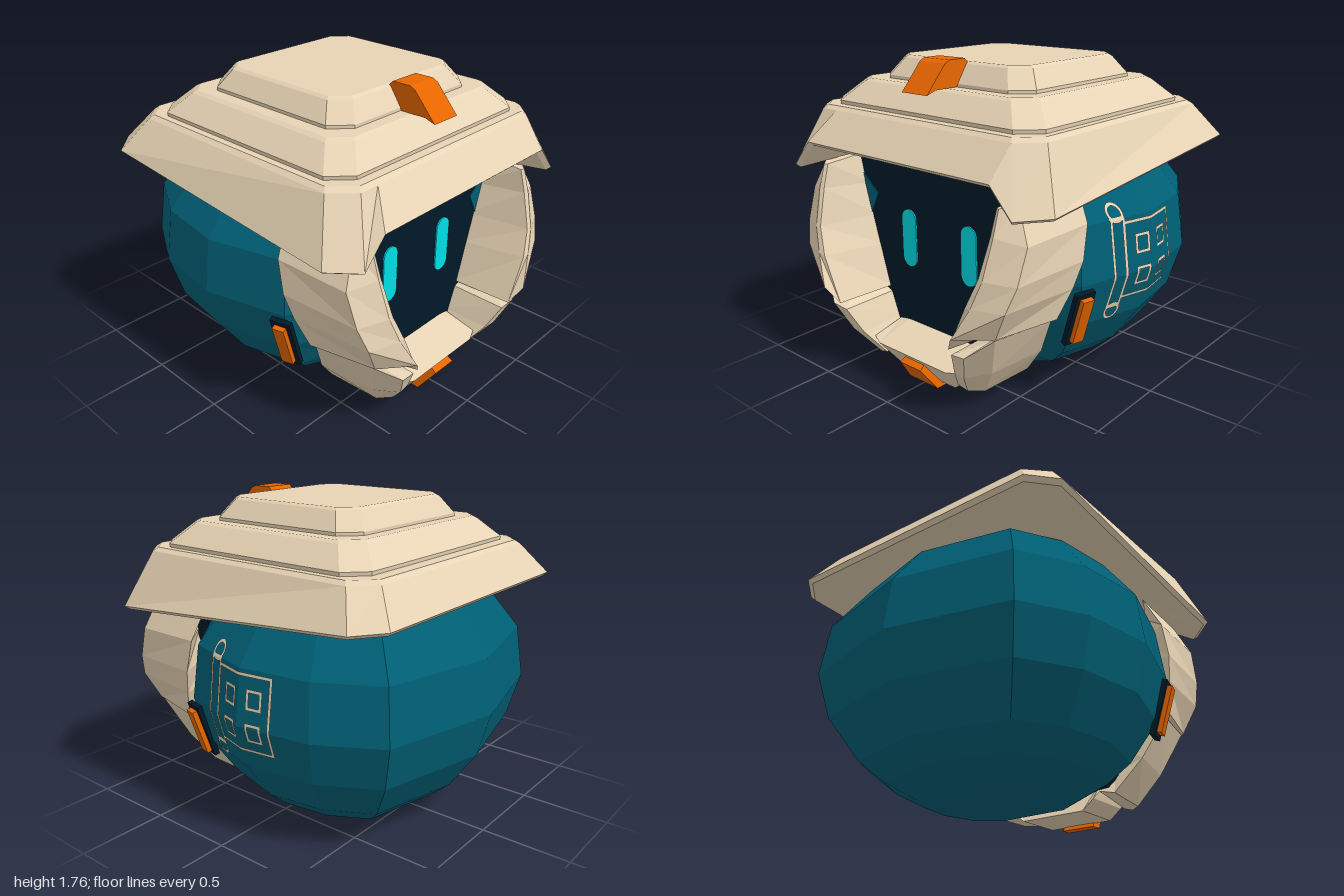
import * as THREE from 'three';
import { mergeGeometries } from 'three/addons/utils/BufferGeometryUtils.js';

const mat = (name, color) => Object.assign(new THREE.MeshStandardMaterial({ color }), { name });

// Closed, capped, faceted solid through equal-length cross-sections; winding is fixed by signed volume
function loft(sections, mirror = false) {
  const n = sections[0].length;
  const pts = sections.flat().map(([x, y, z]) => new THREE.Vector3(mirror ? -x : x, y, z));
  const tris = [];
  for (let s = 0; s < sections.length - 1; s++) {
    for (let i = 0; i < n; i++) {
      const a = s * n + i, b = s * n + (i + 1) % n;
      tris.push([a, b, b + n], [a, b + n, a + n]);
    }
  }
  for (const [start, dir] of [[0, -1], [(sections.length - 1) * n, 1]]) {
    const c = new THREE.Vector3();
    for (let i = 0; i < n; i++) c.addScaledVector(pts[start + i], 1 / n);
    pts.push(c);
    for (let i = 0; i < n; i++) {
      const a = start + i, b = start + (i + 1) % n;
      tris.push(dir > 0 ? [a, b, pts.length - 1] : [b, a, pts.length - 1]);
    }
  }
  const o = pts[0];
  let volume = 0;
  for (const [a, b, c] of tris) {
    const [p, q, r] = [a, b, c].map((i) => pts[i].clone().sub(o));
    volume += p.dot(q.cross(r));
  }
  const order = volume < 0 ? tris.map(([a, b, c]) => [a, c, b]) : tris;
  const geo = new THREE.BufferGeometry().setFromPoints(order.flat().map((i) => pts[i]));
  geo.computeVertexNormals();
  return geo;
}

// Rectangular ring with cut corners, slightly shorter in z
function ring(h, cut, y, depth = 0.955, z0 = 0.013) {
  const a = h - cut;
  return [[a, h], [h, a], [h, -a], [a, -h], [-a, -h], [-h, -a], [-h, a], [-a, h]]
    .map(([x, z]) => [x, y, z * depth + z0]);
}

// Brim ring with two extra front points, which form the arch over the visor
function brimRing(h, cut, yOf) {
  const front = [-0.712, 0.712].map((k) => [k * h, 0, 0.988 * h + 0.003]);
  return ring(h, cut, 0, 0.988, 0.003).concat(front).map(([x, , z], i) => [x, yOf(z, i > 7), z]);
}

function polygon(points) {
  return new THREE.Shape(points.map(([x, y]) => new THREE.Vector2(x, y)));
}

export function createModel() {
  const model = new THREE.Group();
  const teal = mat('teal shell', 0x005f75);
  const sand = mat('sand armour', 0xe9d5b6);
  const orange = mat('orange trim', 0xee6a00);
  const navy = mat('dark visor', 0x001a28);
  const cyan = mat('glowing eyes', 0x00dde6);
  const add = (name, geo, material, parent = model) => {
    const m = new THREE.Mesh(geo, material);
    m.name = name;
    parent.add(m);
    return m;
  };

  // Faceted shell: one plan outline scaled up the profile, cut back at the front
  const half = [[0.73, -0.825], [0.935, -0.46], [1, 0], [0.86, 0.5], [0.5, 0.87]];
  const plan = [[0, -1], ...half, [0, 1], ...half.map(([x, z]) => [-x, z]).reverse()];
  const profile = [[0.4, 0], [0.57, 0.09], [0.7, 0.2], [0.86, 0.43], [0.93, 0.68], [0.89, 0.98], [0.7, 1.24], [0.3, 1.36]];
  const body = add('body', loft(profile.map(([r, y]) =>
    plan.map(([x, z]) => [x * r, y, Math.min(z * r - 0.075, 0.22 + 0.5 * y, 0.52)]))), teal);

  // Visor
  const visor = new THREE.ExtrudeGeometry(
    polygon([[-0.36, 0.15], [0.36, 0.15], [0.46, 0.42], [0.65, 1.1], [0.62, 1.3], [-0.62, 1.3], [-0.65, 1.1], [-0.46, 0.42]]),
    { depth: 0.17, bevelEnabled: false });
  visor.translate(0, 0, 0.42);
  add('visor', visor, navy);

  // Stepped hat
  const underside = (z, arch) => (arch ? 1.275 : 1.2 - 0.077 * z);
  add('hatBrim', loft([
    brimRing(0.5, 0.08, () => 1.26),
    brimRing(0.9, 0.13, underside),
    brimRing(0.922, 0.135, (z, arch) => underside(z, arch) + 0.02),
    brimRing(0.79, 0.115, () => 1.46),
    brimRing(0.765, 0.11, () => 1.48),
  ]), sand);
  add('hatMiddle', loft([
    ring(0.725, 0.11, 1.47), ring(0.728, 0.11, 1.5), ring(0.62, 0.1, 1.605), ring(0.595, 0.09, 1.618),
  ]), sand);
  add('hatTop', loft([
    ring(0.524, 0.1, 1.61), ring(0.524, 0.1, 1.635), ring(0.455, 0.09, 1.73), ring(0.435, 0.08, 1.742),
  ]), sand);

  // Clip hooked over the hat edge
  const clip = [[0.73, 1.6], [0.6, 1.745], [0.57, 1.76], [0.46, 1.76], [0.43, 1.73], [0.52, 1.62], [0.67, 1.62]];
  add('hatClip', loft([-0.09, 0.09].map((x) => clip.map(([z, y]) => [x, y, z]))), orange);

  // Cheek and jaw sections: back, side, front outer, front inner, inner wall
  const cheek = [
    [[0.72, 1.19, 0.34], [0.7, 1.18, 0.76], [0.64, 1.16, 0.83], [0.62, 1.16, 0.82], [0.62, 1.18, 0.56]],
    [[0.81, 1.01, 0.37], [0.785, 1.0, 0.8], [0.64, 1.03, 0.87], [0.615, 1.03, 0.86], [0.58, 1.01, 0.56]],
    [[0.82, 0.83, 0.41], [0.775, 0.82, 0.86], [0.62, 0.83, 0.925], [0.59, 0.83, 0.92], [0.528, 0.83, 0.56]],
    [[0.79, 0.69, 0.45], [0.735, 0.69, 0.9], [0.57, 0.69, 0.955], [0.53, 0.68, 0.95], [0.48, 0.66, 0.57]],
    [[0.74, 0.53, 0.51], [0.65, 0.525, 0.87], [0.48, 0.52, 1.0], [0.415, 0.43, 0.95], [0.41, 0.42, 0.58]],
  ];
  const jaw = [
    [[0.71, 0.515, 0.52], [0.64, 0.515, 0.86], [0.5, 0.4, 0.93], [0.405, 0.385, 0.92], [0.4, 0.39, 0.58]],
    [[0.59, 0.28, 0.44], [0.53, 0.26, 0.76], [0.43, 0.24, 0.86], [0.355, 0.24, 0.85], [0.345, 0.25, 0.55]],
    [[0.44, 0.09, 0.37], [0.41, 0.08, 0.68], [0.34, 0.08, 0.74], [0.28, 0.1, 0.75], [0.29, 0.14, 0.45]],
  ];
  // Eye outline
  const eye = new THREE.Shape();
  eye.absarc(0, 0.112, 0.055, 0, Math.PI);
  eye.absarc(0, -0.112, 0.055, Math.PI, Math.PI * 2);

  for (const side of [1, -1]) {
    const label = side > 0 ? 'left' : 'right';
    add(label + 'Cheek', loft(cheek, side < 0), sand);
    add(label + 'Jaw', loft(jaw, side < 0), sand);

    const eyeGeo = new THREE.ExtrudeGeometry(eye, { depth: 0.008, bevelEnabled: false, curveSegments: 10 });
    add(label + 'Eye', eyeGeo, cyan).position.set(side * 0.225, 0.757, 0.59);

    // Shell corners showing beside the visor
    const corner = [[0.475, 0.97], [0.62, 1.09], [0.56, 0.8]];
    add(label + 'VisorCorner', loft([0.588, 0.596].map((z) => corner.map(([x, y]) => [x, y, z])), side < 0), teal);

    // Slanted side light on a dark socket, lying along the shell
    const lamp = new THREE.Group();
    lamp.name = label + 'SideLamp';
    lamp.position.set(side * 0.765, 0.495, 0.362);
    lamp.rotation.set(0, -side * 0.25, -side * 0.3);
    add('lightSocket', new THREE.BoxGeometry(0.03, 0.32, 0.12), navy, lamp);
    add('sideLight', new THREE.BoxGeometry(0.045, 0.27, 0.07), orange, lamp).position.x = side * 0.02;
    model.add(lamp);
  }

  // Chin guard and its clip
  const chinEnd = (x) => [[x, 0.25, 0.56], [x, 0.2, 0.79], [x * 0.86, 0.09, 0.7], [x * 0.86, 0.09, 0.4]];
  const chinMid = (x) => [[x, 0.26, 0.57], [x, 0.19, 0.82], [x * 0.8, 0.03, 0.7], [x * 0.8, 0.03, 0.4]];
  add('chin', loft([chinEnd(-0.33), chinMid(-0.26), chinMid(0.26), chinEnd(0.33)]), sand);
  add('chinClip', loft([
    [[-0.07, 0.17, 0.78], [0.07, 0.17, 0.78], [0.08, 0.14, 0.83], [-0.08, 0.14, 0.83]],
    [[-0.11, 0.005, 0.665], [0.11, 0.005, 0.665], [0.11, 0.005, 0.735], [-0.11, 0.005, 0.735]],
  ]), orange);

  // Painted banner draped on the left side of the shell
  const t = 0.017;
  const bar = (z, y, w, h) =>
    new THREE.PlaneGeometry(w, h, Math.ceil(w / 0.02), Math.ceil(h / 0.02)).translate(-z, y, 0);
  const frame = (z, y, w, h) => [
    bar(z, y + (h - t) / 2, w, t), bar(z, y - (h - t) / 2, w, t),
    bar(z + (w - t) / 2, y, t, h), bar(z - (w - t) / 2, y, t, h),
  ];
  const pieces = [...frame(-0.085, 0.75, 0.395, 0.425), ...frame(0.145, 0.742, 0.094, 0.5)];
  for (const y of [1.01, 0.475]) pieces.push(new THREE.RingGeometry(0.034, 0.051, 20).translate(-0.145, y, 0));
  for (const z of [-0.01, -0.178]) {
    for (const y of [0.83, 0.655]) pieces.push(...frame(z, y, 0.097, 0.108));
  }
  const banner = mergeGeometries(pieces).rotateY(Math.PI / 2);
  const pos = banner.attributes.position;
  const caster = new THREE.Raycaster();
  body.updateMatrixWorld();
  for (let i = 0; i < pos.count; i++) {
    caster.set(new THREE.Vector3(2, pos.getY(i), pos.getZ(i)), new THREE.Vector3(-1, 0, 0));
    const hit = caster.intersectObject(body)[0];
    pos.setX(i, (hit ? hit.point.x : 0.85) + 0.008);
  }
  banner.computeVertexNormals();
  add('sideBanner', banner, sand);

  return model;
}
